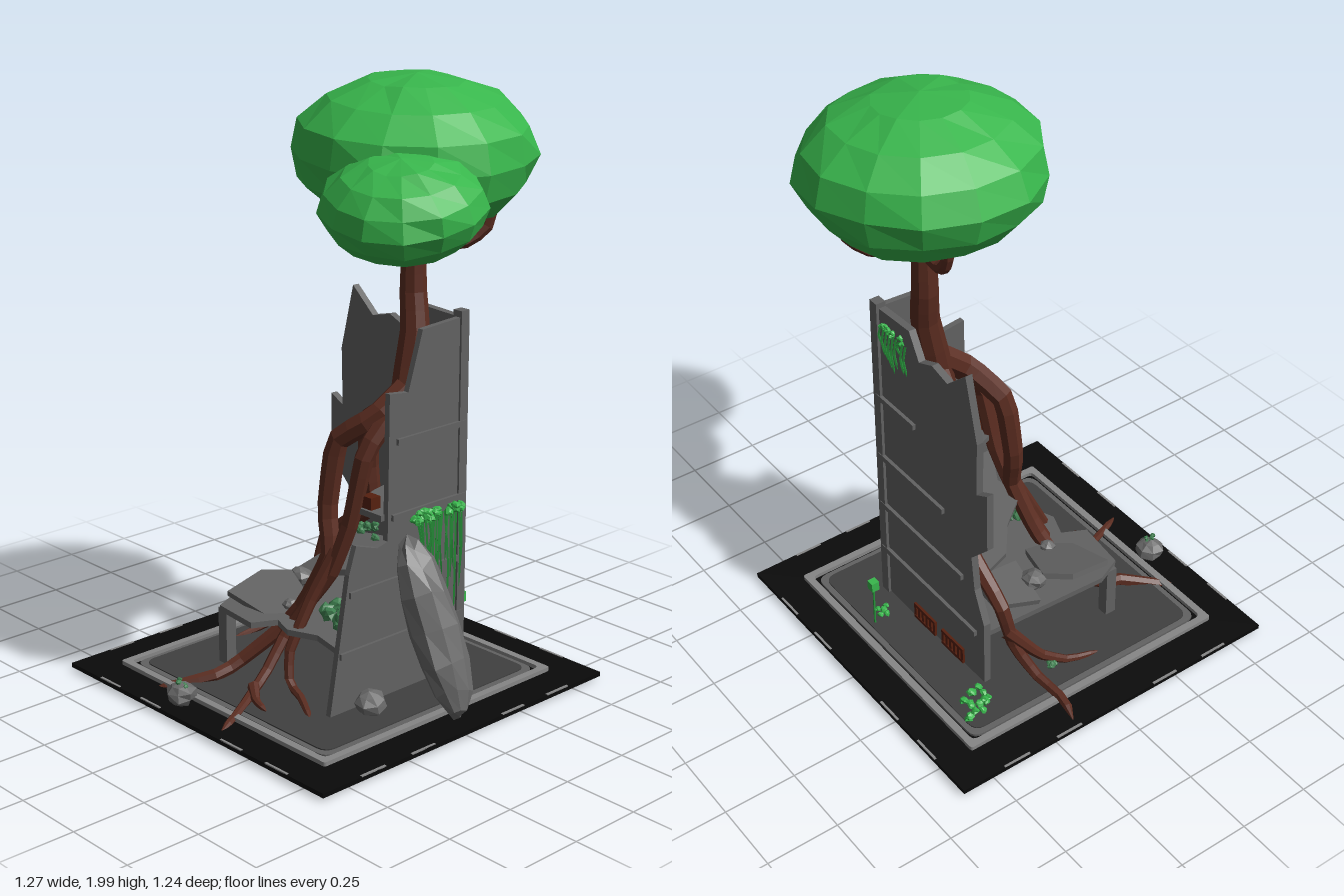
import * as THREE from 'three';

const mat = (name, color, extra = {}) => Object.assign(new THREE.MeshStandardMaterial({ color, flatShading: true, ...extra }), { name });
const V = (p) => new THREE.Vector3(...p);

// seeded random numbers
let seed = 7;
const rnd = () => (seed = (seed * 16807) % 2147483647) / 2147483647;
const hash = (x, y, z) => { const s = Math.sin(x * 12.99 + y * 78.23 + z * 37.72) * 43758.5; return s - Math.floor(s); };

export function createModel() {
  const M = {
    ground: mat('black ground', 0x0a0a0a),
    paving: mat('dark paving', 0x404040),
    curb: mat('light curb', 0x868686),
    wall: mat('grey concrete', 0x626262),
    rock: mat('grey rock', 0x6a6a6a),
    bark: mat('brown bark', 0x5a2c20),
    crate: mat('red brown wood', 0x56200f),
    leaf: mat('bright leaf', 0x38b64c),
    vine: mat('vine green', 0x2a9c3e),
    moss: mat('dull moss', 0x3f8050),
  };
  const root = new THREE.Group();
  const add = (name, geo, m, pos = [0, 0, 0], rot = [0, 0, 0], parent = root) => {
    const mesh = new THREE.Mesh(geo, m);
    mesh.name = name;
    mesh.position.set(...pos);
    mesh.rotation.set(...rot);
    parent.add(mesh);
    return mesh;
  };
  const group = (name) => { const g = new THREE.Group(); g.name = name; root.add(g); return g; };
  // box given by its lower and upper corners
  const box = (name, m, a, b, parent = root) =>
    add(name, new THREE.BoxGeometry(b[0] - a[0], b[1] - a[1], b[2] - a[2]), m, a.map((v, i) => (v + b[i]) / 2), [0, 0, 0], parent);
  const slab = (pts, depth) =>
    new THREE.ExtrudeGeometry(new THREE.Shape(pts.map((p) => new THREE.Vector2(...p))), { depth, bevelEnabled: false });
  // faceted sphere, roughened by position so seams stay closed
  const lump = (rx, ry, rz, w, h, rough) => {
    const g = new THREE.SphereGeometry(1, w, h), p = g.attributes.position;
    for (let i = 0; i < p.count; i++) {
      const q = [p.getX(i), p.getY(i), p.getZ(i)].map((v) => Math.round(v * 1000) / 1000 + 0);
      const k = 1 - rough * hash(...q);
      p.setXYZ(i, q[0] * rx * k, q[1] * ry * k, q[2] * rz * k);
    }
    g.computeVertexNormals();
    return g;
  };
  // tapered tube through points
  const limb = (name, pts, r0, r1, parent, m = M.bark, sides = 7) => {
    const curve = new THREE.CatmullRomCurve3(pts.map(V), false, 'catmullrom', 0.2);
    const n = (pts.length - 1) * 3;
    const g = new THREE.TubeGeometry(curve, n, 1, sides), p = g.attributes.position, v = new THREE.Vector3();
    for (let i = 0; i <= n; i++) {
      const c = curve.getPointAt(i / n), r = i === n ? r1 * 0.15 : r0 + (r1 - r0) * (i / n);
      for (let j = 0; j <= sides; j++) {
        const k = i * (sides + 1) + j;
        v.fromBufferAttribute(p, k).sub(c).multiplyScalar(r).add(c);
        p.setXYZ(k, v.x, v.y, v.z);
      }
    }
    return add(name, g, m, [0, 0, 0], [0, 0, 0], parent);
  };

  // ground, curb and paving
  box('ground', M.ground, [-0.64, 0.02, -0.62], [0.6, 0.035, 0.615]);
  const rounded = (x0, x1, z0, z1, r, S = THREE.Shape) => {
    const s = new S();
    s.moveTo(x0 + r, z0).lineTo(x1 - r, z0).quadraticCurveTo(x1, z0, x1, z0 + r).lineTo(x1, z1 - r).quadraticCurveTo(x1, z1, x1 - r, z1)
      .lineTo(x0 + r, z1).quadraticCurveTo(x0, z1, x0, z1 - r).lineTo(x0, z0 + r).quadraticCurveTo(x0, z0, x0 + r, z0);
    return s;
  };
  const flat = (name, shape, depth, m, y) =>
    add(name, new THREE.ExtrudeGeometry(shape, { depth, bevelEnabled: false, curveSegments: 4 }), m, [0, y, 0], [-Math.PI / 2, 0, 0]);
  const ring = rounded(-0.52, 0.48, -0.5, 0.505, 0.01);
  ring.holes.push(rounded(-0.495, 0.455, -0.475, 0.48, 0.02, THREE.Path));
  flat('curb', ring, 0.014, M.curb, 0.035);
  const border = rounded(-0.485, 0.445, -0.465, 0.47, 0.04);
  flat('pavementBorder', border, 0.008, M.wall, 0.035);
  flat('pavement', rounded(-0.465, 0.425, -0.445, 0.45, 0.04), 0.004, M.paving, 0.043);
  const marks = group('edgeMarks');
  for (const t of [-0.41, -0.2, 0.2, 0.41]) {
    for (const z of [-0.616, 0.611]) box('edgeMark', M.curb, [t - 0.07, 0.033, z - 0.004], [t + 0.03, 0.037, z + 0.004], marks);
    for (const x of [-0.636, 0.596]) box('edgeMark', M.curb, [x - 0.004, 0.033, t - 0.05], [x + 0.004, 0.037, t + 0.05], marks);
  }

  // two broken walls meeting in a corner
  add('backWall', slab([[-0.31, 0.04], [0.26, 0.04], [0.26, 1.24], [0.07, 1.25], [0.02, 1.16], [-0.05, 1.19], [-0.13, 1.17], [-0.225, 1.255],
    [-0.28, 1.03], [-0.275, 0.83], [-0.33, 0.86], [-0.33, 0.64], [-0.245, 0.55], [-0.26, 0.42], [-0.31, 0.3]], 0.025), M.wall, [0, 0, -0.3]);
  add('rightWall', slab([[0.3, 0.04], [0.3, 1.24], [0.11, 1.23], [0.05, 1.04], [-0.03, 1.05], [-0.035, 0.57], [-0.08, 0.56], [-0.17, 0.59],
    [-0.2, 0.5], [-0.28, 0.04]].reverse(), 0.02), M.wall, [0.245, 0, 0], [0, Math.PI / 2, 0]);
  box('cornerColumn', M.wall, [0.235, 0.04, -0.31], [0.272, 1.26, -0.275]);
  const ledges = group('ledges');
  for (const [y, x, z] of [[0.89, 0.05, 0], [0.645, -0.1, 0.02], [0.435, -0.2, 0.2], [0.24, -0.27, 0.24]]) {
    box('backLedge', M.wall, [x, y - 0.01, -0.312], [0.26, y + 0.01, -0.295], ledges);
    box('rightLedge', M.wall, [0.255, y - 0.01, -0.305], [0.275, y + 0.01, z], ledges);
  }
  // broken floors, outlines in x and z
  const floor = (name, pts, y, tilt = 0) =>
    add(name, slab(pts.map(([x, z]) => [x, -z]).reverse(), 0.02), M.wall, [0, y, 0], [-Math.PI / 2, tilt, 0]);
  floor('firstFloor', [[-0.3, -0.28], [0.25, -0.28], [0.25, 0.23], [0.12, 0.2], [0.02, 0.24], [-0.06, 0.21], [-0.1, 0.29], [-0.28, 0.27], [-0.32, 0.18]], 0.235);
  floor('secondFloor', [[-0.22, -0.28], [0.25, -0.28], [0.25, 0.14], [0.12, 0.07], [0.03, 0.1], [-0.06, -0.02], [-0.16, -0.1]], 0.405, -0.14);
  floor('thirdFloor', [[0.02, -0.28], [0.25, -0.28], [0.25, 0.05], [0.12, 0.05], [0.06, -0.1]], 0.635);
  floor('fourthFloor', [[0.16, -0.28], [0.25, -0.28], [0.25, -0.02], [0.2, -0.1]], 0.88);
  box('floorPost', M.wall, [-0.3, 0.04, 0.22], [-0.26, 0.24, 0.26]);
  add('fallenPlate', slab([[-0.12, -0.1], [0.1, -0.13], [0.14, 0.02], [-0.02, 0.12], [-0.1, 0.06]], 0.02), M.wall, [-0.2, 0.27, 0.1], [-1.4, 0.22, 0.2]);
  add('fallenPlate', slab([[-0.1, -0.08], [0.08, -0.1], [0.05, 0.1], [-0.08, 0.09]], 0.02), M.wall, [-0.2, 0.3, -0.14], [-1.3, -0.2, 0]);

  // leaning boulder and loose rocks
  add('leaningRock', lump(0.085, 0.32, 0.1, 9, 8, 0.16), M.rock, [0.44, 0.32, 0], [0, 0, 0.42]);
  const rock = (x, y, z, r) => add('looseRock', lump(r, r * 0.8, r, 7, 5, 0.25), M.rock, [x, y, z], [0.2, x * 9, 0.1]);
  rock(0.32, 0.08, 0.16, 0.058);
  rock(-0.15, 0.07, 0.54, 0.056);
  rock(-0.22, 0.29, -0.03, 0.05);
  rock(-0.1, 0.27, 0.12, 0.03);

  // tree trunk, branches and crowns
  const tree = group('tree');
  limb('trunk', [[0.18, 0.9, -0.12], [0.165, 1.05, -0.15], [0.16, 1.2, -0.18], [0.14, 1.32, -0.19], [0.14, 1.62, -0.19]], 0.058, 0.034, tree, M.bark, 9);
  for (const [x, z] of [[0.29, -0.4], [-0.04, -0.22], [0.28, -0.04]]) {
    const at = (k, y) => [0.14 + (x - 0.14) * k, y, -0.19 + (z + 0.19) * k];
    limb('branch', [at(0, 1.46), at(0.65, 1.47), at(0.9, 1.52), at(1, 1.64)], 0.022, 0.02, tree);
  }
  add('largeCrown', lump(0.395, 0.245, 0.4, 14, 8, 0.06), M.leaf, [0.145, 1.762, -0.185], [0.04, 0.3, -0.05], tree);
  add('smallCrown', lump(0.26, 0.155, 0.25, 13, 8, 0.06), M.leaf, [0.385, 1.665, 0.1], [0.28, 0.4, -0.16], tree);

  // roots flowing down the ruin
  const roots = group('roots');
  const paths = [
    [[[0.18, 1.0, -0.14], [0.08, 0.93, -0.16], [-0.07, 0.84, -0.2], [-0.1, 0.68, -0.23], [-0.1, 0.52, -0.24], [-0.31, 0.36, -0.235], [-0.34, 0.18, -0.2], [-0.4, 0.06, -0.15], [-0.53, 0.05, -0.14], [-0.61, 0.04, -0.165]], 0.044, 0.014],
    [[[-0.33, 0.26, -0.23], [-0.37, 0.12, -0.12], [-0.4, 0.06, -0.02], [-0.42, 0.04, 0.11]], 0.026, 0.008],
    [[[0.18, 1.02, -0.12], [0.15, 0.94, -0.02], [0.04, 0.85, 0.04], [0.015, 0.62, 0.06], [0.05, 0.48, 0.08], [-0.03, 0.3, 0.12], [-0.1, 0.2, 0.16], [-0.19, 0.08, 0.28], [-0.2, 0.06, 0.36], [-0.32, 0.015, 0.54]], 0.042, 0.018],
    [[[0.19, 1.0, -0.1], [0.16, 0.84, 0.03], [0.12, 0.6, 0.06], [0.07, 0.42, 0.1], [-0.05, 0.22, 0.17], [-0.04, 0.1, 0.28], [-0.01, 0.06, 0.37], [0.03, 0.045, 0.45], [0.09, 0.03, 0.58]], 0.036, 0.012],
    [[[-0.02, 0.08, 0.35], [0.04, 0.06, 0.39], [0.1, 0.05, 0.4]], 0.02, 0.008],
    [[[0.08, 0.5, 0.08], [0.04, 0.35, 0.15], [0.02, 0.18, 0.23], [0.04, 0.08, 0.25], [0.12, 0.06, 0.27], [0.23, 0.04, 0.33]], 0.026, 0.01],
  ];
  for (const [pts, a, b] of paths) limb('root', pts, a, b, roots);

  // shrubs made of small leafy lumps
  const shrub = (name, m, [x, y, z], [sx, sy, sz], n, r) => {
    const g = group(name);
    for (let i = 0; i < n; i++)
      add('leafClump', lump(r, r * 0.7, r, 6, 4, 0.35), m, [x + (rnd() - 0.5) * sx, y + (rnd() - 0.5) * sy, z + (rnd() - 0.5) * sz], [rnd(), rnd() * 6, rnd()], g);
  };
  shrub('cornerShrub', M.leaf, [-0.375, 0.065, -0.39], [0.09, 0.03, 0.12], 18, 0.018);
  shrub('floorMoss', M.moss, [0.13, 0.285, 0.1], [0.15, 0.06, 0.06], 14, 0.032);
  shrub('upperMoss', M.moss, [-0.06, 0.46, -0.2], [0.08, 0.03, 0.05], 7, 0.02);
  shrub('rockSprout', M.moss, [-0.14, 0.11, 0.545], [0.03, 0.02, 0.03], 5, 0.012);
  shrub('rootMoss', M.moss, [-0.4, 0.08, -0.1], [0.04, 0.01, 0.04], 4, 0.015);

  // hanging vines: on the right wall, then high on the back wall
  shrub('rightVineTop', M.leaf, [0.28, 0.625, -0.17], [0.02, 0.03, 0.22], 26, 0.02);
  shrub('backVineTop', M.leaf, [0.15, 1.19, -0.305], [0.14, 0.02, 0.01], 12, 0.015);
  const vines = group('vines');
  for (let i = 0; i < 17; i++) {
    const z = -0.08 - i * 0.0125, len = 0.12 + rnd() * 0.17 + (i % 4 === 2 ? 0.12 : 0);
    limb('rightVine', [[0.28, 0.62, z], [0.285, 0.62 - len / 2, z + (rnd() - 0.5) * 0.03], [0.278, 0.62 - len, z + (rnd() - 0.5) * 0.02]], 0.005, 0.004, vines, M.vine, 4);
  }
  for (let i = 0; i < 9; i++) {
    const x = 0.08 + i * 0.017, len = 0.05 + rnd() * 0.1;
    limb('backVine', [[x, 1.19, -0.308], [x + 0.008, 1.19 - len / 2, -0.312], [x, 1.19 - len, -0.306]], 0.005, 0.004, vines, M.vine, 4);
  }

  // post with a small leaf plate behind the ruin
  add('postStem', new THREE.CylinderGeometry(0.004, 0.004, 0.18, 5), M.vine, [0.14, 0.13, -0.43]);
  box('postTop', M.leaf, [0.126, 0.2, -0.444], [0.154, 0.235, -0.416]);
  shrub('postShrub', M.leaf, [0.15, 0.07, -0.38], [0.04, 0.02, 0.06], 6, 0.015);

  // crates and wooden grilles
  box('upperCrate', M.crate, [0.15, 0.655, 0], [0.195, 0.695, 0.04]);
  box('lowerCrate', M.crate, [0.13, 0.045, 0.06], [0.21, 0.09, 0.13]);
  box('smallCrate', M.crate, [0.15, 0.09, 0.075], [0.195, 0.13, 0.115]);
  const grilles = group('grilles');
  for (const x0 of [-0.2, -0.04]) {
    for (let i = 0; i < 6; i++) box('grilleSlat', M.crate, [x0 + i * 0.022, 0.05, -0.308], [x0 + i * 0.022 + 0.012, 0.11, -0.299], grilles);
    for (const y of [0.05, 0.1]) box('grilleRail', M.crate, [x0, y, -0.309], [x0 + 0.122, y + 0.012, -0.3], grilles);
  }
  return root;
}
